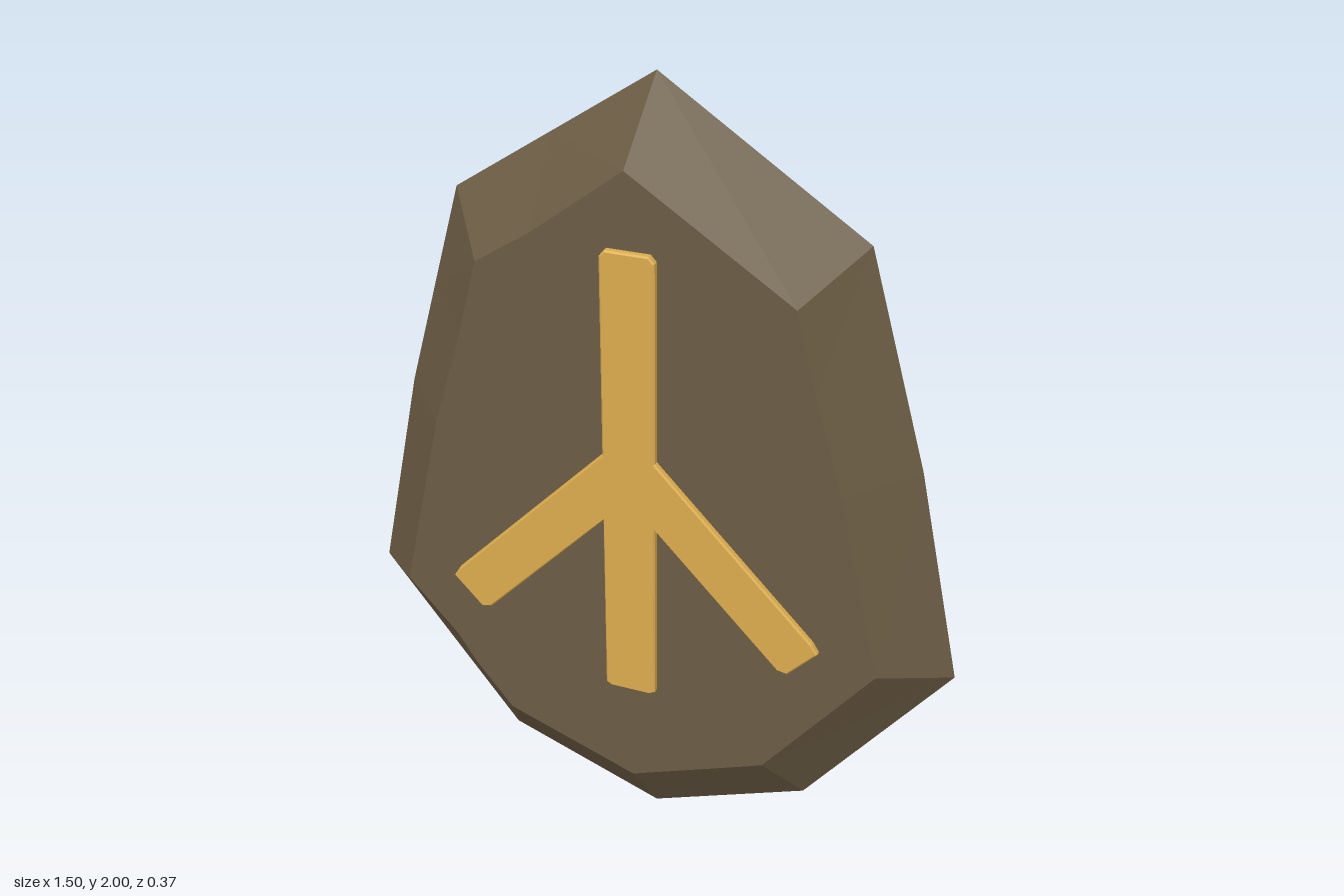
import * as THREE from 'three';

const FACE_Z = 0.17;

// Clockwise rings: rim x, rim y (at z = 0), then face edge x, y (at z = FACE_Z)
const RING = [
  [0, 2, -0.01, 1.84],
  [0.48, 1.68, 0.37, 1.59],
  [0.555, 1.42, 0.42, 1.4],
  [0.63, 1.16, 0.49, 1.16],
  [0.75, 0.62, 0.595, 0.7],
  [0.4, 0.155, 0.335, 0.36],
  [0, 0, 0, 0.23],
  [-0.4, 0.155, -0.33, 0.355],
  [-0.55, 0.354, -0.42, 0.47],
  [-0.65, 0.487, -0.47, 0.55],
  [-0.75, 0.62, -0.595, 0.69],
  [-0.63, 1.16, -0.485, 1.16],
  [-0.555, 1.42, -0.41, 1.4],
  [-0.48, 1.68, -0.36, 1.585],
  [-0.24, 1.84, -0.23, 1.67],
];

// Sloped facets from the rim up to the flat face
function bevelGeometry() {
  const pos = [];
  RING.forEach((a, i) => {
    const b = RING[(i + 1) % RING.length];
    const o0 = [a[0], a[1], 0], o1 = [b[0], b[1], 0];
    const i0 = [a[2], a[3], FACE_Z], i1 = [b[2], b[3], FACE_Z];
    pos.push(...o0, ...i0, ...i1, ...o0, ...i1, ...o1);
  });
  const geo = new THREE.BufferGeometry();
  geo.setAttribute('position', new THREE.Float32BufferAttribute(pos, 3));
  geo.computeVertexNormals();
  return geo;
}

function faceGeometry() {
  const shape = new THREE.Shape(RING.map(p => new THREE.Vector2(p[2], p[3])));
  return new THREE.ShapeGeometry(shape).translate(0, 0, FACE_Z);
}

// Raised sign: an upright with two arms spreading downward
function runeGeometry() {
  const half = [
    [0.05, 1.665], [0.063, 1.65], [0.063, 1.165], [0.445, 0.765], [0.46, 0.74],
    [0.39, 0.665], [0.365, 0.67], [0.063, 0.99], [0.063, 0.52], [0.05, 0.512],
  ];
  const outline = [...half, ...half.map(([x, y]) => [-x, y]).reverse()];
  const shape = new THREE.Shape(outline.map(([x, y]) => new THREE.Vector2(x, y)));
  return new THREE.ExtrudeGeometry(shape, {
    depth: 0.022, bevelEnabled: true, bevelThickness: 0.004,
    bevelSize: 0.004, bevelOffset: -0.004, bevelSegments: 1,
  }).translate(0, 0, FACE_Z - 0.01);
}

export function createModel() {
  const stone = new THREE.MeshStandardMaterial({ color: 0x6b5c44 });
  stone.name = 'brown stone';
  const gold = new THREE.MeshStandardMaterial({ color: 0xdbac4d });
  gold.name = 'gold';

  const parts = [
    ['stoneBevel', bevelGeometry(), stone],
    ['stoneFace', faceGeometry(), stone],
    ['goldSign', runeGeometry(), gold],
  ];

  const model = new THREE.Group();
  model.name = 'runeStone';
  // The back is the front turned half a revolution
  ['frontHalf', 'backHalf'].forEach((name, i) => {
    const half = new THREE.Group();
    half.name = name;
    half.rotation.y = i * Math.PI;
    for (const [part, geo, mat] of parts) {
      const mesh = new THREE.Mesh(geo, mat);
      mesh.name = part;
      half.add(mesh);
    }
    model.add(half);
  });
  return model;
}
